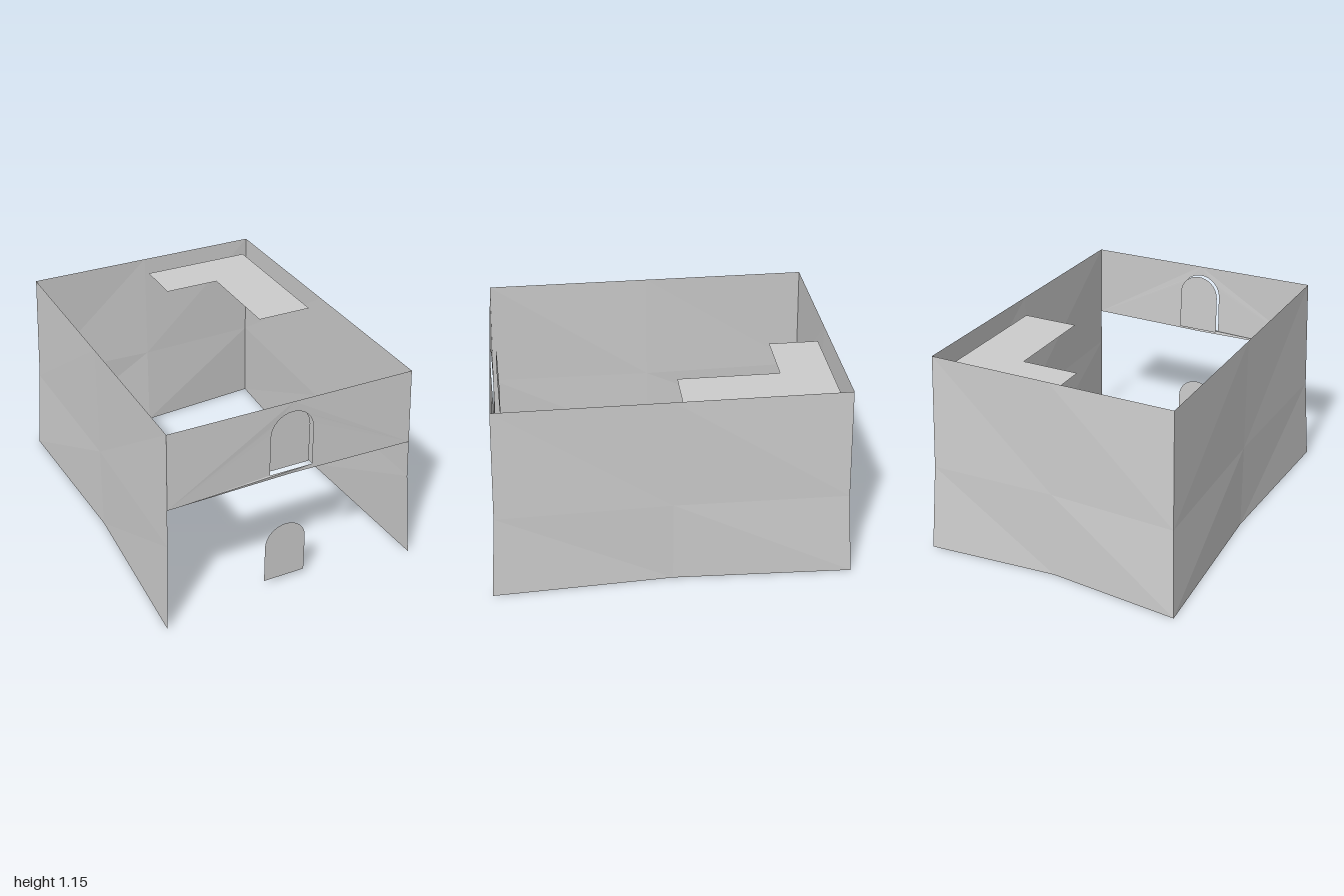
import * as THREE from 'three';

const TOP = 1.153, HALF_X = 0.7, HALF_Z = 0.935;

// How far the wall corners flare outwards at height y (1 at the ground, 0 at the top)
const flare = (y) => (y < 0.5 ? 1 - 1.2 * y : 0.4 * (TOP - y) / (TOP - 0.5));

// Places a flat point (u = -1..1 along the wall, y) on the flared surface
function bend(geometry, place) {
  const p = geometry.attributes.position;
  for (let i = 0; i < p.count; i++) p.setXYZ(i, ...place(p.getX(i), p.getY(i)));
  geometry.computeVertexNormals();
  return geometry;
}

const endWall = (side) => (u, y) =>
  [u * (HALF_X + 0.045 * flare(y)), y, side * (HALF_Z + 0.065 * flare(y) * Math.abs(u))];
const sideWall = (side) => (u, y) =>
  [side * (HALF_X + 0.045 * flare(y) * Math.abs(u)), y, u * (HALF_Z + 0.065 * flare(y))];

// Two-by-two panel with its middle row at the break in the flare
function wallPanel() {
  const g = new THREE.PlaneGeometry(2, 2, 2, 2);
  const rows = [0, 0.5, TOP];
  const p = g.attributes.position;
  for (let i = 0; i < p.count; i++) p.setY(i, rows[Math.round(p.getY(i)) + 1]);
  return g;
}

// Round-headed doorway outline; sx scales it along the wall
function archPath(path, bottom, sx = 1) {
  const cx = -0.004, r = 0.122, spring = bottom + 0.228;
  path.moveTo((cx - r) * sx, bottom);
  path.lineTo((cx + r) * sx, bottom);
  for (let i = 0; i <= 16; i++) {
    const a = (Math.PI * i) / 16;
    path.lineTo((cx + r * Math.cos(a)) * sx, spring + r * Math.sin(a));
  }
  path.closePath();
  return path;
}

export function createModel() {
  const group = new THREE.Group();
  const stone = new THREE.MeshStandardMaterial({ color: 0xcccccc });
  stone.name = 'stone grey';
  stone.side = THREE.DoubleSide;
  stone.flatShading = true;

  const add = (name, geometry) => {
    const mesh = new THREE.Mesh(geometry, stone);
    mesh.name = name;
    group.add(mesh);
    return mesh;
  };

  // Full-height walls
  add('backWall', bend(wallPanel(), endWall(-1)));
  add('leftWall', bend(wallPanel(), sideWall(1)));
  add('rightWall', bend(wallPanel(), sideWall(-1)));

  // Upper front wall with an arched opening
  const front = new THREE.Shape();
  [[-1, 0.72], [0, 0.72], [1, 0.72], [1, TOP], [0, TOP], [-1, TOP]]
    .forEach(([u, y], i) => (i ? front.lineTo(u, y) : front.moveTo(u, y)));
  front.holes.push(archPath(new THREE.Path(), 0.745, 1 / HALF_X));
  add('frontUpperWall', bend(new THREE.ShapeGeometry(front), endWall(1)));

  // Door panels set just behind the front wall
  for (const [name, bottom] of [['lowerDoor', 0.028], ['upperDoor', 0.745]]) {
    add(name, new THREE.ShapeGeometry(archPath(new THREE.Shape(), bottom))).position.z = 0.905;
  }

  // L-shaped upper floor in the back left corner
  const floor = new THREE.Shape();
  [[0.01, 0.62], [0.335, 0.62], [0.335, 0.06], [0.66, 0.06], [0.66, 0.9], [0.01, 0.9]]
    .forEach(([x, y], i) => (i ? floor.lineTo(x, y) : floor.moveTo(x, y)));
  const slab = new THREE.ShapeGeometry(floor);
  slab.rotateX(-Math.PI / 2);
  add('upperFloor', slab).position.y = 1.07;

  return group;
}
